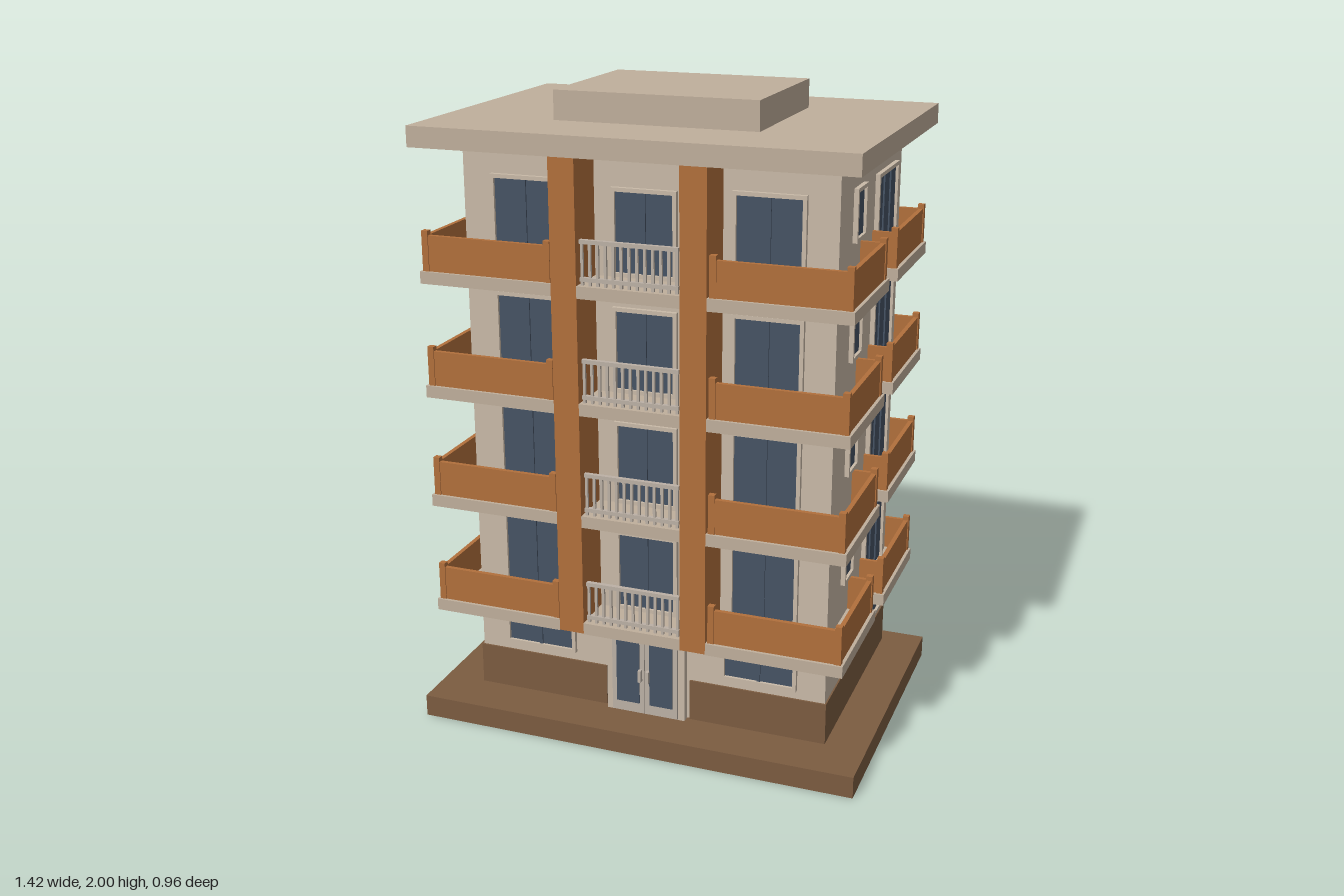
import * as THREE from 'three';

const mat = (name, color, side = THREE.FrontSide) => {
  const m = new THREE.MeshStandardMaterial({ color, side });
  m.name = name;
  return m;
};

export function createModel() {
  const wall = mat('wall plaster', 0xc9baa8);
  const stone = mat('slab and roof', 0xc0af9c);
  const orange = mat('orange cladding', 0xb2703c);
  const brown = mat('brown plinth', 0x7c5c41);
  const glass = mat('window glass', 0x465364);
  const metal = mat('railing metal', 0xbcb1a6);

  const model = new THREE.Group();
  model.name = 'apartmentBlock';

  // Box given by its minimum and maximum on each axis
  const box = (name, m, x0, x1, y0, y1, z0, z1, parent = model) => {
    const mesh = new THREE.Mesh(new THREE.BoxGeometry(x1 - x0, y1 - y0, z1 - z0), m);
    mesh.position.set((x0 + x1) / 2, (y0 + y1) / 2, (z0 + z1) / 2);
    mesh.name = name;
    parent.add(mesh);
    return mesh;
  };
  // Same box on both sides of the building
  const pair = (name, m, x0, x1, y0, y1, z0, z1) => {
    box(name, m, x0, x1, y0, y1, z0, z1);
    box(name, m, -x1, -x0, y0, y1, z0, z1);
  };

  // Framed window, built facing +z and then turned onto its wall
  const windowUnit = (name, w, h, panes, x, y, z, turn = 0) => {
    const g = new THREE.Group();
    g.name = name;
    const t = 0.012, d = 0.014;
    box('glass', glass, -w / 2, w / 2, -h / 2, h / 2, -0.002, 0.005, g);
    for (const s of [-1, 1]) {
      const cx = s * (w / 2), cy = s * (h / 2);
      box('frameSide', wall, cx - t / 2, cx + t / 2, -h / 2 - t / 2, h / 2 + t / 2, -0.002, d, g);
      box('frameEdge', wall, -w / 2, w / 2, cy - t / 2, cy + t / 2, -0.002, d, g);
    }
    for (let i = 1; i < panes; i++) {
      const cx = -w / 2 + (w * i) / panes;
      box('mullion', glass, cx - 0.005, cx + 0.005, -h / 2, h / 2, 0, 0.01, g);
    }
    g.position.set(x, y, z);
    g.rotation.y = turn;
    model.add(g);
  };

  // Flush back window with rounded corners
  const backWindow = (w, h, x, y) => {
    const r = 0.03, a = w / 2, b = h / 2;
    const s = new THREE.Shape();
    s.moveTo(-a + r, -b);
    s.lineTo(a - r, -b); s.quadraticCurveTo(a, -b, a, -b + r);
    s.lineTo(a, b - r); s.quadraticCurveTo(a, b, a - r, b);
    s.lineTo(-a + r, b); s.quadraticCurveTo(-a, b, -a, b - r);
    s.lineTo(-a, -b + r); s.quadraticCurveTo(-a, -b, -a + r, -b);
    const geo = new THREE.ExtrudeGeometry(s, { depth: 0.005, bevelEnabled: false, curveSegments: 5 });
    const mesh = new THREE.Mesh(geo, glass);
    mesh.name = 'backWindow';
    mesh.rotation.y = Math.PI;
    mesh.position.set(x, y, -0.438);
    model.add(mesh);
  };

  // Ground slab, body and roof
  box('groundSlab', brown, -0.71, 0.71, 0, 0.07, -0.48, 0.48);
  box('body', wall, -0.575, 0.575, 0.07, 1.85, -0.415, 0.32);
  box('backBay', wall, -0.45, 0.45, 0.07, 1.85, -0.44, -0.41);
  box('roof', stone, -0.67, 0.67, 1.85, 1.912, -0.485, 0.48);
  box('roofHatch', stone, -0.315, 0.315, 1.91, 2.0, -0.255, 0.24);

  // Plinth, open at the entrance
  pair('plinthFront', brown, 0.14, 0.58, 0.07, 0.205, 0.3, 0.326);
  pair('plinthSide', brown, 0.56, 0.58, 0.07, 0.205, -0.42, 0.32);
  box('plinthBack', brown, -0.58, 0.58, 0.07, 0.205, -0.42, -0.4);
  box('plinthBackBay', brown, -0.454, 0.454, 0.07, 0.205, -0.444, -0.41);

  // Tall pillars
  pair('pillar', orange, 0.157, 0.237, 0.38, 1.85, 0.31, 0.46);

  // Entrance with two glazed doors
  box('doorSurround', wall, -0.13, 0.13, 0.07, 0.375, 0.31, 0.345);
  for (const x of [-0.055, 0.055]) {
    box('door', metal, x - 0.054, x + 0.054, 0.075, 0.355, 0.34, 0.353);
    box('doorGlass', glass, x - 0.038, x + 0.038, 0.11, 0.335, 0.35, 0.357);
  }
  pair('doorHandle', metal, 0.008, 0.018, 0.19, 0.23, 0.353, 0.368);

  // Ground floor windows
  for (const s of [-1, 1]) {
    windowUnit('groundFrontWindow', 0.23, 0.11, 2, s * 0.365, 0.295, 0.32);
    windowUnit('groundSideWindow', 0.1, 0.11, 1, s * 0.575, 0.295, 0.12, s * Math.PI / 2);
    windowUnit('groundSideWideWindow', 0.24, 0.11, 3, s * 0.575, 0.295, -0.205, s * Math.PI / 2);
  }
  backWindow(0.11, 0.095, 0.28, 0.29);
  backWindow(0.34, 0.115, -0.2, 0.285);

  // Upper floors
  for (let i = 0; i < 4; i++) {
    const y = 0.415 + i * 0.355;
    const bottom = y - 0.037;

    // Floor slabs
    pair('frontBalconySlab', stone, 0.237, 0.66, bottom, y, 0.3, 0.46);
    pair('sideBalconySlab', stone, 0.56, 0.66, bottom, y, 0.06, 0.3);
    pair('rearBalconySlab', stone, 0.56, 0.66, bottom, y, -0.442, -0.05);
    box('backFloorBand', stone, -0.56, 0.56, bottom, y, -0.45, -0.4);
    box('centreBalconySlab', stone, -0.157, 0.157, bottom, y, 0.3, 0.46);

    // Balcony parapets and their corner posts
    const top = y + 0.108;
    pair('frontParapet', orange, 0.245, 0.65, y, top, 0.436, 0.45);
    pair('sideParapet', orange, 0.636, 0.65, y, top, 0.07, 0.436);
    pair('sideParapetEnd', orange, 0.57, 0.636, y, top, 0.07, 0.082);
    pair('rearParapet', orange, 0.636, 0.65, y, top, -0.436, -0.06);
    pair('rearParapetFrontEnd', orange, 0.57, 0.636, y, top, -0.072, -0.06);
    pair('rearParapetBackEnd', orange, 0.52, 0.636, y, top, -0.436, -0.424);
    for (const [x, z] of [[0.643, 0.443], [0.252, 0.443], [0.643, 0.077], [0.643, -0.067], [0.643, -0.43]])
      pair('parapetPost', orange, x - 0.01, x + 0.01, y, y + 0.122, z - 0.01, z + 0.01);

    // Centre balcony railing
    const rail = new THREE.Group();
    rail.name = 'centreRailing';
    for (const h of [0.012, 0.122])
      box('rail', metal, -0.15, 0.15, y + h, y + h + 0.012, 0.436, 0.45, rail);
    for (let k = 0; k <= 12; k++) {
      const x = -0.144 + k * 0.024;
      box('baluster', metal, x - 0.004, x + 0.004, y, y + 0.125, 0.439, 0.447, rail);
    }
    model.add(rail);

    // Windows and balcony doors
    windowUnit('centreDoor', 0.19, 0.25, 2, 0, y + 0.135, 0.32);
    for (const s of [-1, 1]) {
      windowUnit('frontBalconyDoor', 0.205, 0.265, 2, s * 0.375, y + 0.142, 0.32);
      windowUnit('sideWindow', 0.1, 0.145, 1, s * 0.575, y + 0.2, 0.12, s * Math.PI / 2);
      windowUnit('sideBalconyDoor', 0.24, 0.26, 3, s * 0.575, y + 0.138, -0.205, s * Math.PI / 2);
    }
    backWindow(0.11, 0.125, 0.28, y + 0.2);
    backWindow(0.34, 0.17, -0.2, y + 0.18);
  }
  return model;
}
